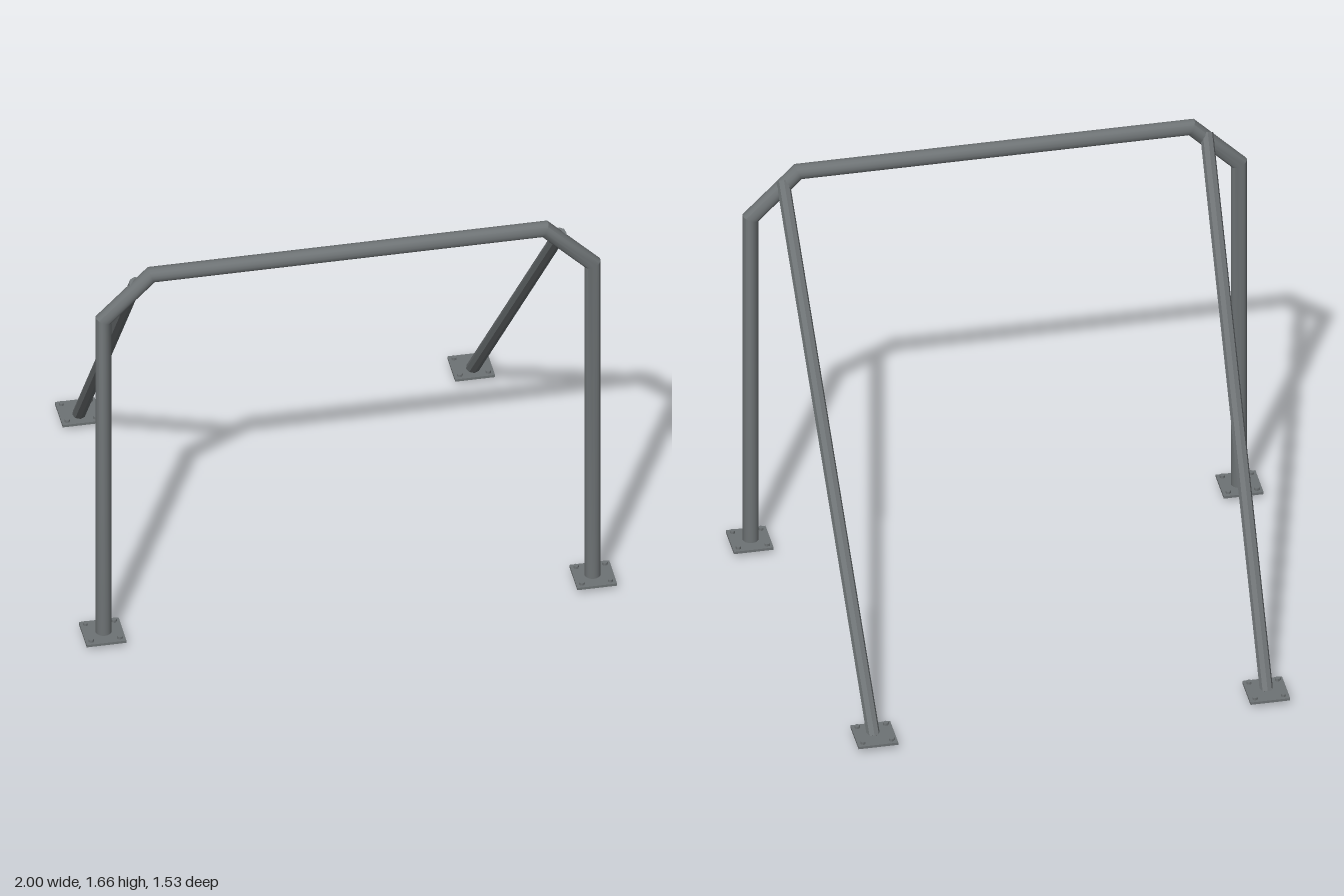
import * as THREE from 'three';
import { toCreasedNormals } from 'three/addons/utils/BufferGeometryUtils.js';

const HOOP_RADIUS = 0.03, HOOP_Z = 0.69;
const BRACE_RADIUS = 0.025;
const PLATE_SIZE = 0.15, PLATE_BOTTOM = 0.02, PLATE_THICK = 0.01;

// Round tube swept along an upright polyline, with mitred bends
function mitredTube(path, radius, sides) {
  const pos = [], index = [];
  path.forEach((p, i) => {
    const into = p.clone().sub(path[Math.max(i - 1, 0)]).normalize();
    const out = path[Math.min(i + 1, path.length - 1)].clone().sub(p).normalize();
    const t = into.clone().add(out).normalize();
    const stretch = radius / Math.max(t.dot(into), t.dot(out));
    for (let j = 0; j < sides; j++) {
      const a = (j / sides) * Math.PI * 2;
      const n = Math.cos(a) * stretch;
      pos.push(p.x - t.y * n, p.y + t.x * n, Math.sin(a) * radius);
    }
  });
  for (let i = 0; i < path.length - 1; i++) {
    for (let j = 0; j < sides; j++) {
      const k = (j + 1) % sides;
      const a = i * sides + j, b = i * sides + k;
      index.push(a, b, a + sides, b, b + sides, a + sides);
    }
  }
  const geo = new THREE.BufferGeometry();
  geo.setAttribute('position', new THREE.Float32BufferAttribute(pos, 3));
  geo.setIndex(index);
  return toCreasedNormals(geo, 0.6);
}

// Straight tube between two points
function strut(name, from, to, radius, sides, material) {
  const dir = to.clone().sub(from);
  const geo = toCreasedNormals(new THREE.CylinderGeometry(radius, radius, dir.length(), sides), 0.5);
  const mesh = new THREE.Mesh(geo, material);
  mesh.name = name;
  mesh.position.copy(from).add(to).multiplyScalar(0.5);
  mesh.quaternion.setFromUnitVectors(new THREE.Vector3(0, 1, 0), dir.normalize());
  return mesh;
}

// Square foot plate with a bolt head at each corner
function footPlate(name, x, z, material) {
  const foot = new THREE.Group();
  foot.name = name;
  foot.position.set(x, PLATE_BOTTOM, z);
  const plate = new THREE.Mesh(new THREE.BoxGeometry(PLATE_SIZE, PLATE_THICK, PLATE_SIZE), material);
  plate.name = 'plate';
  plate.position.y = PLATE_THICK / 2;
  foot.add(plate);
  const boltGeo = toCreasedNormals(new THREE.CylinderGeometry(0.01, 0.01, 0.012, 8), 0.9);
  for (const sx of [-1, 1]) {
    for (const sz of [-1, 1]) {
      const bolt = new THREE.Mesh(boltGeo, material);
      bolt.name = 'bolt';
      bolt.position.set(sx * 0.054, PLATE_THICK + 0.004, sz * 0.054);
      foot.add(bolt);
    }
  }
  return foot;
}

export function createModel() {
  const model = new THREE.Group();
  model.name = 'rollBar';
  const steel = new THREE.MeshStandardMaterial({ color: 0x6e7375 });
  steel.name = 'greySteel';

  // Main hoop with chamfered shoulders
  const half = [[0.922, 0.022], [0.922, 1.45], [0.742, 1.63]];
  const path = [
    ...half.map(([x, y]) => new THREE.Vector2(-x, y)),
    ...half.slice().reverse().map(([x, y]) => new THREE.Vector2(x, y)),
  ];
  const hoop = new THREE.Mesh(mitredTube(path, HOOP_RADIUS, 16), steel);
  hoop.name = 'mainHoop';
  hoop.position.z = HOOP_Z;
  model.add(hoop);

  // Rear braces and the four feet
  for (const [side, s] of [['left', 1], ['right', -1]]) {
    model.add(strut(
      side + 'Brace',
      new THREE.Vector3(s * 0.742, 0.017, -0.688),
      new THREE.Vector3(s * 0.8, 1.597, 0.688),
      BRACE_RADIUS, 8, steel,
    ));
    model.add(footPlate(side + 'FrontFoot', s * 0.925, HOOP_Z, steel));
    model.add(footPlate(side + 'RearFoot', s * 0.74, -0.692, steel));
  }
  return model;
}
